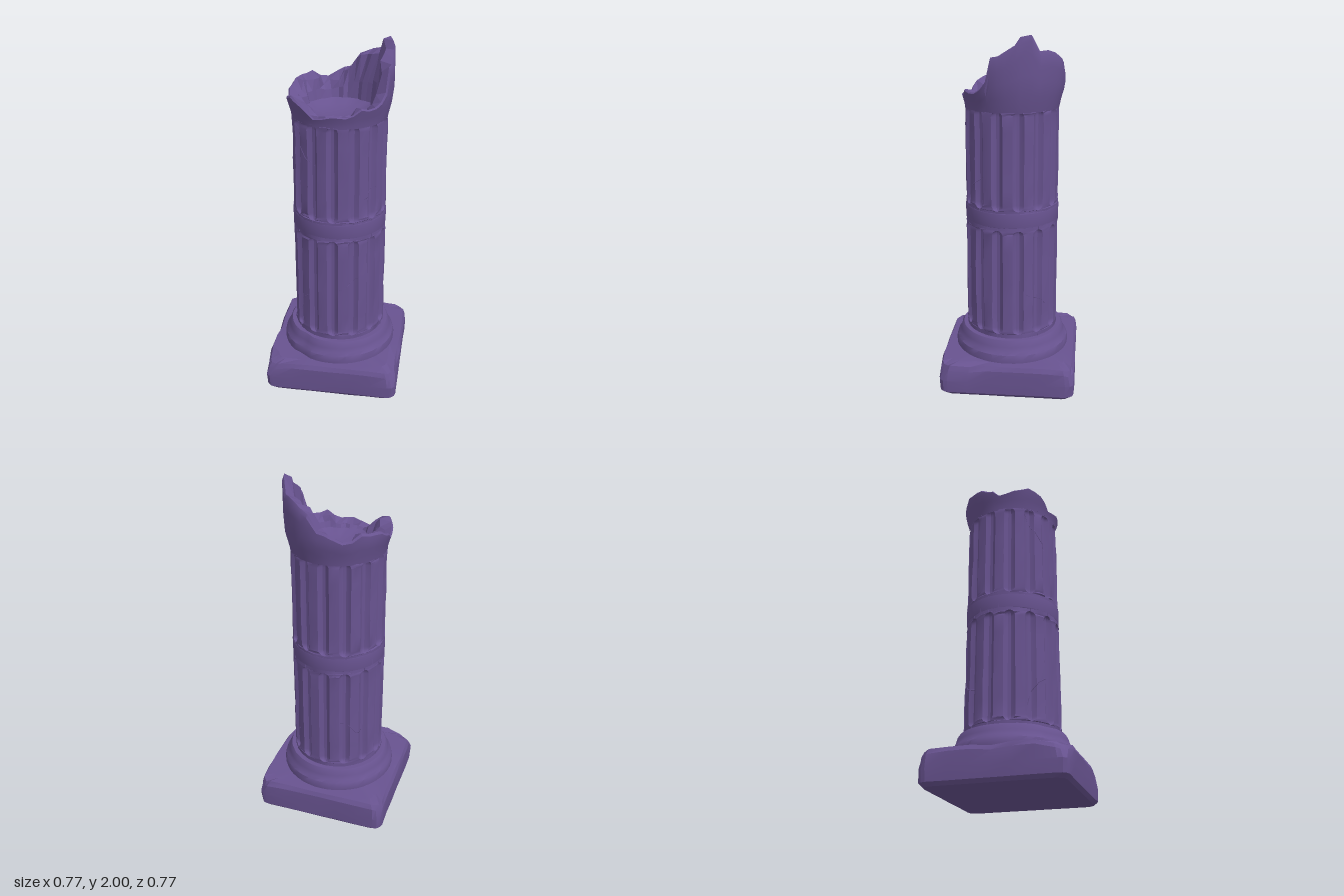
import * as THREE from 'three';
import { toCreasedNormals } from 'three/addons/utils/BufferGeometryUtils.js';

const FLUTES = 14, PITCH = (Math.PI * 2) / FLUTES;
const FLUTE_HALF = 0.122, FLUTE_DEPTH = 0.022, END = 0.032;
const DRUMS = [[0.335, 0.955], [1.065, 1.61]];

// Small seeded generator, returns -1..1
function makeRandom(seed) {
  return () => {
    seed = (seed * 16807) % 2147483647;
    return (seed / 2147483647) * 2 - 1;
  };
}

const polar = (a, r, y) => new THREE.Vector3(Math.sin(a) * r, y, Math.cos(a) * r);

// Skins a stack of closed loops that all have the same point count
function skin(rings, crease) {
  const n = rings[0].length, pos = [], index = [];
  rings.forEach(ring => ring.forEach(p => pos.push(p.x, p.y, p.z)));
  for (let i = 0; i < rings.length - 1; i++) {
    for (let j = 0; j < n; j++) {
      const k = (j + 1) % n;
      const a = i * n + j, b = i * n + k, c = a + n, d = b + n;
      index.push(a, b, d, a, d, c);
    }
  }
  const g = new THREE.BufferGeometry();
  g.setAttribute('position', new THREE.Float32BufferAttribute(pos, 3));
  g.setIndex(index);
  if (crease) return toCreasedNormals(g, crease);
  const flat = g.toNonIndexed();
  flat.computeVertexNormals();
  return flat;
}

// Flute half-angle at a height: rounded ends, zero on the plain bands
function fluteWidth(y) {
  for (const [lo, hi] of DRUMS) {
    const d = Math.min(y - lo, hi - y);
    if (d >= END) return FLUTE_HALF;
    if (d > 0) return FLUTE_HALF * Math.sqrt(1 - ((END - d) / END) ** 2);
  }
  return 0;
}

const landRadius = y => 0.263 - 0.004 * Math.min(1, Math.max(0, (y - 0.3) / 1.3));

function shaftRadius(a, y) {
  const w = fluteWidth(y);
  const off = a - Math.round(a / PITCH) * PITCH;
  if (w < 0.003 || Math.abs(off) >= w) return landRadius(y);
  return landRadius(y) - FLUTE_DEPTH * Math.sqrt(w / FLUTE_HALF) * (1 - (off / w) ** 2);
}

// Shaft: loops whose columns follow the flute edges
function shaftGeometry() {
  const random = makeRandom(11);
  const rows = [0.29];
  for (const [lo, hi] of DRUMS) {
    const ends = [0, 0.003, 0.01, 0.02, END];
    ends.forEach(e => rows.push(lo + e));
    for (let i = 1; i < 6; i++) rows.push(lo + END + ((hi - lo - 2 * END) * i) / 6);
    [...ends].reverse().forEach(e => rows.push(hi - e));
  }
  rows.push(1.63);
  return skin(rows.map(y => {
    const ring = [], w = Math.max(fluteWidth(y), 0.004);
    for (let f = 0; f < FLUTES; f++) {
      const wear = random() * 0.003;
      for (const off of [-PITCH / 2, -w, -0.7 * w, -0.3 * w, 0.3 * w, 0.7 * w, w]) {
        const a = f * PITCH + off;
        ring.push(polar(a, shaftRadius(a, y) + (Math.abs(off) >= w ? wear : 0), y));
      }
    }
    return ring;
  }), 0.55);
}

// Broken edge height by angle in degrees, measured from the front towards +x
const EDGE = [[0, 1.68], [15, 1.66], [32, 1.71], [50, 1.70], [66, 1.76], [72, 1.89], [88, 1.91], [98, 1.94],
  [104, 1.99], [116, 2.0], [126, 1.92], [148, 1.90], [165, 1.87], [176, 1.80], [190, 1.77], [202, 1.73],
  [222, 1.77], [238, 1.77], [256, 1.74], [270, 1.70], [288, 1.71], [306, 1.75], [322, 1.72], [338, 1.65], [360, 1.68]];

function edgeHeight(deg) {
  const i = Math.max(1, EDGE.findIndex(e => e[0] >= deg));
  const [a0, h0] = EDGE[i - 1], [a1, h1] = EDGE[i];
  return h0 + ((h1 - h0) * (deg - a0)) / (a1 - a0);
}

// Broken top: flared outer skin, chunky fracture face and hollow
function brokenTop() {
  const random = makeRandom(29);
  const cols = EDGE.slice(0, -1).flatMap(([d], i) => {
    const span = EDGE[i + 1][0] - d;
    return span > 13 ? [d, d + span / 2] : [d];
  }).map(d => {
    const h = edgeHeight(d);
    return {
      a: THREE.MathUtils.degToRad(d), h: h > 1.98 ? h : h + random() * 0.01,
      lip: 0.228 + random() * 0.018, drop: 0.025 + random() * 0.018, inner: 0.192 + random() * 0.014,
    };
  });
  const flare = y => 0.259 + 0.031 * THREE.MathUtils.smoothstep(y, 1.59, 1.74);
  const outer = [0, 0.25, 0.5, 0.75, 0.93, 1].map(t => cols.map(c => {
    const y = 1.6 + (c.h - 1.6) * t;
    return polar(c.a, flare(y) - (t === 1 ? 0.01 : 0), y);
  }));
  const inner = [
    outer[outer.length - 1],
    cols.map(c => polar(c.a, c.lip, c.h - c.drop)),
    cols.map(c => polar(c.a, c.inner + 0.008, 1.645 + (c.h - 1.645) * 0.35)),
    cols.map(c => polar(c.a, c.inner - 0.006, 1.635)),
  ];
  const bowl = [inner[3], ...[[0.14, 1.612], [0.08, 1.6], [0.001, 1.595]]
    .map(([r, y]) => cols.map(c => polar(c.a, r, y)))];
  return { outer: skin(outer, 0.6), fracture: skin(inner), bowl: skin(bowl, 0.8) };
}

// Plinth: worn rounded-square loops with chipped corners
function plinthGeometry() {
  const random = makeRandom(5);
  const loop = (half, y, wear) => {
    const ring = [], c = 0.05, s = half - c;
    for (let k = 0; k < 4; k++) {
      const mid = Math.PI / 4 + (k * Math.PI) / 2;
      const corner = m => new THREE.Vector3(Math.sign(Math.sin(m)) * s, y, Math.sign(Math.cos(m)) * s);
      for (let i = 0; i < 4; i++) {
        ring.push(corner(mid).add(polar((k + i / 3) * Math.PI / 2, c, 0)));
      }
      const from = ring[ring.length - 1];
      const to = corner(mid + Math.PI / 2).add(polar((k + 1) * Math.PI / 2, c, 0));
      for (let i = 1; i < 6; i++) ring.push(from.clone().lerp(to, i / 6));
    }
    ring.forEach(p => {
      const k = 1 - Math.abs(random()) * wear;
      p.x *= k;
      p.z *= k;
    });
    return ring;
  };
  const rings = [loop(0.001, 0, 0), loop(0.365, 0, 0.01), loop(0.383, 0.02, 0.012), loop(0.386, 0.09, 0.008),
    loop(0.386, 0.165, 0.012), loop(0.375, 0.19, 0.025), loop(0.32, 0.19, 0), loop(0.001, 0.19, 0)];
  // Chips: x, z, size, depth
  const chips = [[-0.36, 0.36, 0.11, 0.035], [0.37, 0.37, 0.07, 0.03], [0.38, 0.22, 0.06, 0.02],
    [-0.38, -0.02, 0.06, 0.015], [0.37, -0.37, 0.07, 0.025], [-0.37, -0.37, 0.06, 0.02]];
  rings.slice(4, 6).flat().forEach(p => chips.forEach(([x, z, size, depth]) => {
    const f = 1 - Math.hypot(p.x - x, p.z - z) / size;
    if (f > 0) {
      p.y -= depth * f;
      p.x -= Math.sign(x) * depth * f * 0.5;
      p.z -= Math.sign(z) * depth * f * 0.5;
    }
  }));
  return skin(rings, 0.3);
}

// Moulding between plinth and shaft
function mouldingGeometry() {
  const random = makeRandom(17);
  const profile = [[0.33, 0.18], [0.332, 0.205], [0.326, 0.235], [0.312, 0.252], [0.304, 0.275],
    [0.297, 0.298], [0.288, 0.312], [0.25, 0.312]];
  return skin(profile.map(([r, y]) => Array.from({ length: 48 }, (_, i) => {
    const a = (i / 48) * Math.PI * 2;
    const chip = Math.max(0, 1 - Math.abs(a - 5.68) / 0.22) * 0.014;
    return polar(a, r - chip + random() * 0.0012, y);
  })), 0.5);
}

// Hairline crack that hugs the fluted surface; points are [degrees, height]
function crackGeometry(points) {
  const path = new THREE.CurvePath();
  const pts = points.map(([d, y]) => new THREE.Vector3(THREE.MathUtils.degToRad(d), y, 0));
  for (let i = 1; i < pts.length; i++) path.add(new THREE.LineCurve3(pts[i - 1], pts[i]));
  const onShaft = path.getSpacedPoints(40).map(p => polar(p.x, shaftRadius(p.x, p.y), p.y));
  return new THREE.TubeGeometry(new THREE.CatmullRomCurve3(onShaft), 60, 0.0025, 3);
}

export function createModel() {
  const stone = new THREE.MeshStandardMaterial({ color: 0x685390 });
  stone.name = 'purple stone';
  const group = new THREE.Group();
  group.name = 'brokenColumn';
  const add = (name, geometry) => {
    const mesh = new THREE.Mesh(geometry, stone);
    mesh.name = name;
    group.add(mesh);
  };
  add('plinth', plinthGeometry());
  add('baseMoulding', mouldingGeometry());
  add('flutedShaft', shaftGeometry());
  const top = brokenTop();
  add('brokenCrown', top.outer);
  add('fractureFace', top.fracture);
  add('hollow', top.bowl);

  // Plain band between the two drums
  const band = [[0.255, 0.968], [0.263, 0.974], [0.264, 1.05], [0.255, 1.056]];
  add('middleBand', new THREE.LatheGeometry(band.map(p => new THREE.Vector2(...p)), 42));

  const cracks = [
    [[8, 0.64], [16, 0.66], [26, 0.69], [34, 0.72], [40, 0.74]],
    [[-56, 0.42], [-50, 0.5], [-42, 0.55], [-32, 0.58]],
    [[-58, 1.58], [-46, 1.48], [-36, 1.42], [-24, 1.38]],
    [[40, 1.19], [48, 1.22], [58, 1.25]],
    [[112, 0.58], [122, 0.55], [135, 0.53], [140, 0.5]],
    [[200, 0.62], [212, 0.6], [220, 0.55], [232, 0.54]],
  ];
  cracks.forEach((points, i) => add('crack' + (i + 1), crackGeometry(points)));
  return group;
}
